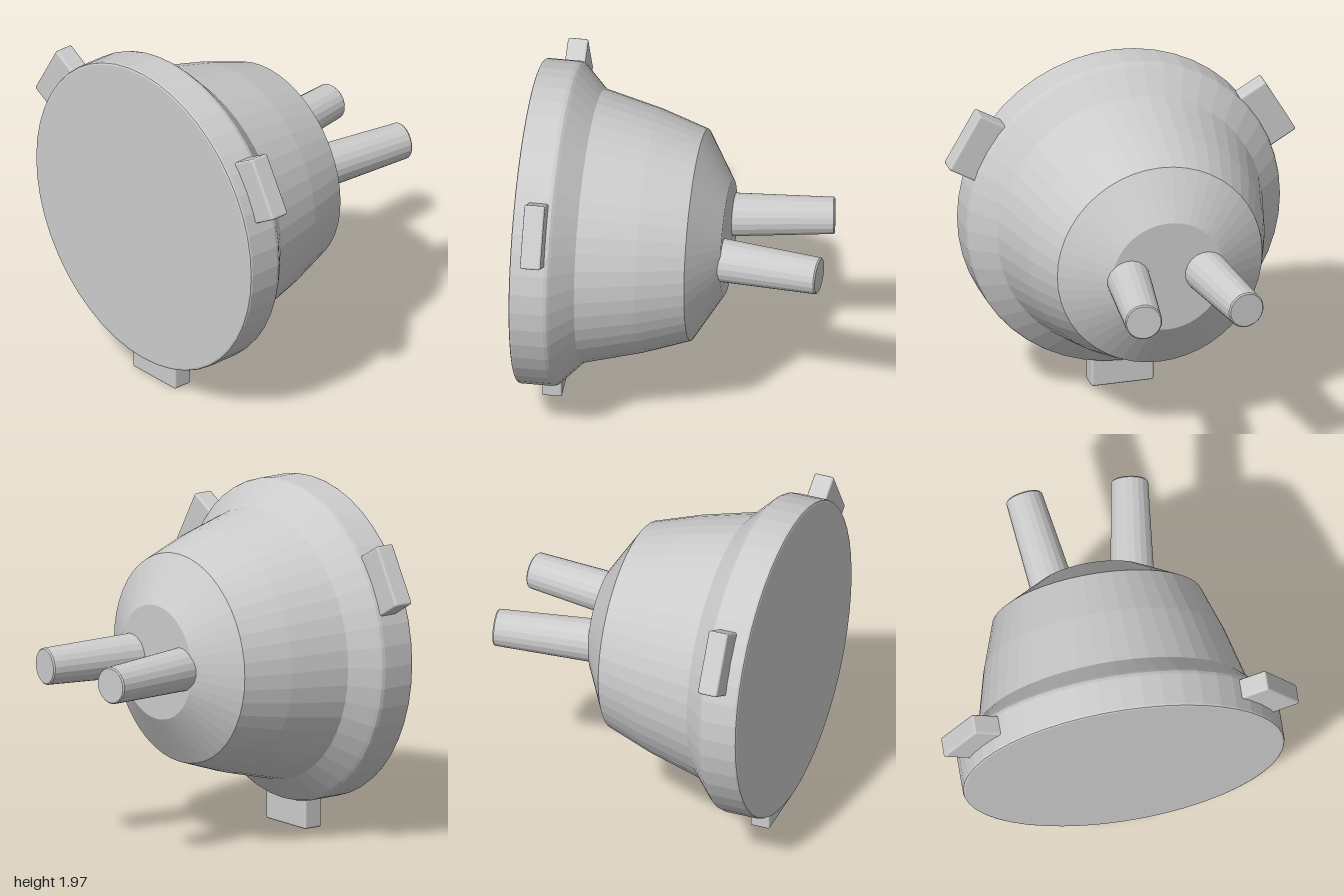
import * as THREE from 'three';
import { RoundedBoxGeometry } from 'three/addons/geometries/RoundedBoxGeometry.js';

const CENTRE_Y = 1.06;

export function createModel() {
  const model = new THREE.Group();
  const grey = new THREE.MeshStandardMaterial({ color: 0xcccccc });
  grey.name = 'light grey';
  grey.flatShading = true;

  // Everything is arranged around the axis of the round body
  const plug = new THREE.Group();
  plug.name = 'plug';
  plug.position.y = CENTRE_Y;
  model.add(plug);

  function add(name, geometry) {
    const mesh = new THREE.Mesh(geometry, grey);
    mesh.name = name;
    plug.add(mesh);
    return mesh;
  }

  // Turned body: radius and depth, from the back face to the front rim
  const profile = [
    [0, -0.27], [0.325, -0.27], [0.595, -0.105], [0.685, 0.16], [0.77, 0.49],
    [0.895, 0.612], [0.907, 0.626], [0.912, 0.645], [0.912, 0.825],
    [0.908, 0.835], [0.898, 0.839], [0, 0.839],
  ].map(([r, z]) => new THREE.Vector2(r, z));
  add('body', new THREE.LatheGeometry(profile, 48).rotateX(Math.PI / 2));

  // Three grip tabs around the rim
  for (let i = 0; i < 3; i++) {
    const tab = new RoundedBoxGeometry(0.36, 0.22, 0.115, 2, 0.012);
    tab.translate(0, -0.95, 0.703).rotateZ((i * Math.PI * 2) / 3);
    add('tab' + (i + 1), tab);
  }

  // Two tapered pins, splayed outwards
  for (const side of [-1, 1]) {
    const base = new THREE.Vector3(side * 0.222, 0, -0.24);
    const tip = new THREE.Vector3(side * 0.299, 0, -0.826);
    const axis = tip.clone().sub(base);
    const length = axis.length();
    const pinProfile = [
      [0, 0], [0.124, 0], [0.105, length - 0.008], [0.098, length], [0, length],
    ].map(([r, y]) => new THREE.Vector2(r, y));
    const pin = add(side > 0 ? 'leftPin' : 'rightPin', new THREE.LatheGeometry(pinProfile, 20));
    pin.position.copy(base);
    pin.quaternion.setFromUnitVectors(new THREE.Vector3(0, 1, 0), axis.normalize());
  }

  return model;
}
